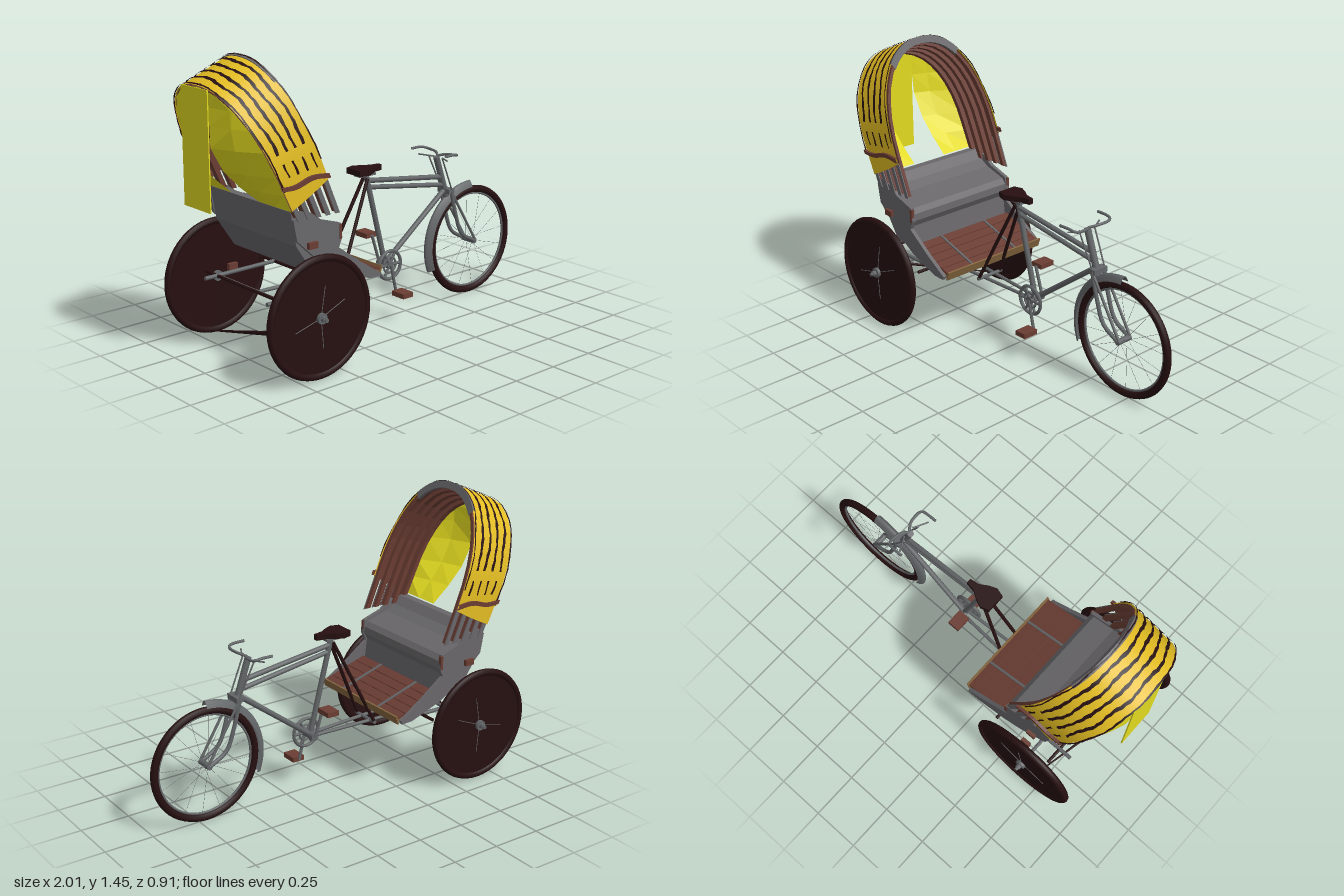
import * as THREE from 'three';

const mat = (name, color, double) => {
  const m = new THREE.MeshStandardMaterial({ color });
  m.name = name;
  if (double) m.side = THREE.DoubleSide;
  return m;
};
const V = (p) => new THREE.Vector3(...p);

// Grid surface from fn(u, v) over lists of parameters; skip(i, j) leaves holes
function surf(us, vs, fn, flat, skip = () => false) {
  const pos = [], idx = [], n = vs.length;
  us.forEach((u) => vs.forEach((v) => pos.push(...fn(u, v))));
  for (let i = 0; i < us.length - 1; i++) for (let j = 0; j < n - 1; j++) {
    if (skip(i, j)) continue;
    const a = i * n + j;
    idx.push(a, a + n, a + 1, a + 1, a + n, a + n + 1);
  }
  let g = new THREE.BufferGeometry();
  g.setAttribute('position', new THREE.Float32BufferAttribute(pos, 3));
  g.setIndex(idx);
  if (flat) g = g.toNonIndexed();
  g.computeVertexNormals();
  return g;
}
const range = (a, b, n) => Array.from({ length: n + 1 }, (_, i) => a + ((b - a) * i) / n);

// Point on the leaning hood: u runs rear to front, t across the arch, o is the outward offset
const S0 = 0.3, POW = 0.9;
function hood(u, t, o = 0) {
  const k = Math.abs(t), a = Math.min(k, 1) * Math.PI / 2;
  const s = k < 1 ? S0 + (1 - S0 + o / 0.69) * Math.cos(a) ** POW : S0 * (1 - (k - 1) / 0.5);
  const z = Math.sign(t) * (0.33 + o) * Math.sin(a) ** POW;
  return [-0.72 + 0.25 * u + s * (-0.28 - 0.01 * u), 0.75 + s * (0.59 + 0.105 * u), z];
}

export function createModel() {
  const root = new THREE.Group();
  root.name = 'cycleRickshaw';
  const gold = mat('gold hood', 0xe2bc22, true), yellow = mat('yellow cloth', 0xe2da20, true);
  const brown = mat('brown wood', 0x6a3d33, true), dark = mat('dark rubber', 0x260f10, true);
  const grey = mat('grey body', 0x69676a, true), metal = mat('frame metal', 0x626567, true);
  const tan = mat('tan board', 0x86663f);

  let parent = root;
  const group = (name) => { parent = new THREE.Group(); parent.name = name; root.add(parent); };
  const add = (name, geo, m, x = 0, y = 0, z = 0) => {
    const mesh = new THREE.Mesh(geo, m);
    mesh.name = name;
    mesh.position.set(x, y, z);
    parent.add(mesh);
    return mesh;
  };
  const box = (name, m, w, h, d, x, y, z) => add(name, new THREE.BoxGeometry(w, h, d), m, x, y, z);
  const rod = (name, m, a, b, r, r2 = r) => {
    const A = V(a), B = V(b), d = B.clone().sub(A);
    const mesh = add(name, new THREE.CylinderGeometry(r2, r, d.length(), 10), m);
    mesh.position.copy(A).add(B).multiplyScalar(0.5);
    mesh.quaternion.setFromUnitVectors(new THREE.Vector3(0, 1, 0), d.normalize());
  };
  const tube = (name, m, pts, r) =>
    add(name, new THREE.TubeGeometry(new THREE.CatmullRomCurve3(pts.map(V)), 24, r, 8), m);
  const extrude = (pts, depth) =>
    new THREE.ExtrudeGeometry(new THREE.Shape(pts.map((p) => new THREE.Vector2(...p))), { depth, bevelEnabled: false });
  const disc = (r, w, n = 40) => new THREE.CylinderGeometry(r, r, w, n).rotateX(Math.PI / 2);
  const sides = [1, -1];

  // Rear wheels: covered discs with hubs on one axle
  group('rearWheels');
  const rx = -0.648, ry = 0.302;
  for (const s of sides) {
    add('rearTire', new THREE.TorusGeometry(0.276, 0.018, 10, 48), dark, rx, ry, 0.4 * s);
    add('rearDisc', disc(0.272, 0.018), dark, rx, ry, 0.4 * s);
    add('rearHub', disc(0.026, 0.05, 14), metal, rx, ry, 0.4 * s);
    add('hubCap', disc(0.014, 0.085, 10), metal, rx, ry, 0.4 * s);
    for (const a of [0.4, 1.4, 3.4, 4.8]) {
      rod('discSpoke', metal, [rx, ry, 0.41 * s], [rx + 0.15 * Math.cos(a), ry + 0.15 * Math.sin(a), 0.41 * s], 0.0018);
    }
  }
  rod('rearAxle', metal, [rx, ry, -0.455], [rx, ry, 0.455], 0.009);
  rod('looseRod', dark, [-0.9, 0.285, 0.38], [-0.7, 0.03, -0.38], 0.011, 0.003);

  // Front wheel with rim and spokes
  group('frontWheel');
  const fx = 0.706, fy = 0.3;
  add('frontTire', new THREE.TorusGeometry(0.274, 0.019, 10, 56), dark, fx, fy, 0);
  add('frontRim', new THREE.TorusGeometry(0.252, 0.006, 8, 56), metal, fx, fy, 0);
  add('frontHub', disc(0.015, 0.085, 14), metal, fx, fy, 0);
  for (let i = 0; i < 16; i++) {
    const a = (i * Math.PI) / 8 + 0.1, z = i % 2 ? 0.025 : -0.025;
    rod('spoke', metal, [fx, fy, z], [fx + 0.249 * Math.cos(a), fy + 0.249 * Math.sin(a), 0], 0.0007);
  }
  add('frontFender', surf(range(1.59, 3.52, 24), range(-1, 1, 6), (a, v) => {
    const r = 0.326 - 0.034 * v * v;
    return [fx + r * Math.cos(a), fy + r * Math.sin(a), 0.025 * v];
  }), metal);

  // Bicycle frame, fork and steering
  group('bicycleFrame');
  rod('seatTube', metal, [-0.02, 0.77, 0], [0.105, 0.29, 0], 0.014);
  rod('topTube', metal, [-0.01, 0.745, 0], [0.48, 0.68, 0], 0.013);
  rod('secondTube', metal, [0, 0.71, 0], [0.5, 0.635, 0], 0.012);
  rod('downTube', metal, [0.11, 0.3, 0], [0.52, 0.61, 0], 0.014);
  rod('headTube', metal, [0.455, 0.79, 0], [0.53, 0.57, 0], 0.017);
  box('forkCrown', metal, 0.04, 0.025, 0.085, 0.53, 0.6, 0);
  for (const s of sides) {
    const z = 0.038 * s;
    tube('forkBlade', metal, [[0.53, 0.6, z], [0.565, 0.47, z], [0.61, 0.36, z], [fx, fy, z]], 0.01);
    rod('forkStay', metal, [0.53, 0.6, z], [fx + 0.01, fy, z], 0.007);
    rod('brakeRod', metal, [0.45, 0.79, 0.05 * s], [0.545, 0.58, z], 0.004);
    tube('handlebar', metal, [[0.465, 0.795, 0], [0.49, 0.805, 0.04 * s], [0.495, 0.81, 0.1 * s],
      [0.485, 0.815, 0.118 * s], [0.46, 0.82, 0.122 * s], [0.4, 0.82, 0.124 * s]], 0.007);
    rod('brakeLever', metal, [0.47, 0.785, 0.03 * s], [0.43, 0.79, 0.105 * s], 0.004);
    rod('chainStay', metal, [0.1, 0.292, 0.015 * s], [rx, ry, 0.06 * s], 0.009);
    rod('seatStrut', dark, [-0.025, 0.76, 0.015 * s], [-0.24, 0.305, 0.07 * s], 0.009);
    rod('bodyRail', metal, [-0.41, 0.36, 0.24 * s], [-0.82, 0.36, 0.24 * s], 0.01);
  }
  rod('strutBar', metal, [-0.24, 0.3, -0.08], [-0.24, 0.3, 0.08], 0.009);

  // Saddle
  add('saddle', extrude([[-0.105, -0.05], [-0.06, -0.062], [-0.02, -0.045], [0.02, -0.02], [0.07, -0.012],
    [0.07, 0.012], [0.02, 0.02], [-0.02, 0.045], [-0.06, 0.062], [-0.105, 0.05]], 0.028).rotateX(-Math.PI / 2), dark, 0, 0.788, 0);
  box('saddleSpring', metal, 0.1, 0.012, 0.05, -0.03, 0.78, 0);

  // Cranks, chainring and pedals
  group('drive');
  const cx = 0.105, cy = 0.295;
  add('chainring', new THREE.TorusGeometry(0.073, 0.009, 6, 32), metal, cx, cy, 0.035);
  add('innerRing', new THREE.TorusGeometry(0.04, 0.006, 6, 24), metal, cx, cy, 0.035);
  add('bottomBracket', disc(0.02, 0.09, 14), metal, cx, cy, 0);
  for (let i = 0; i < 6; i++) {
    const a = (i * Math.PI) / 3;
    rod('chainringArm', metal, [cx, cy, 0.035], [cx + 0.07 * Math.cos(a), cy + 0.07 * Math.sin(a), 0.035], 0.007);
  }
  for (const [x, y, s] of [[0.14, 0.15, 1], [0.058, 0.44, -1]]) {
    rod('crank', metal, [cx, cy, 0.045 * s], [x, y, 0.045 * s], 0.008);
    box('pedal', brown, 0.065, 0.025, 0.085, x, y, 0.093 * s);
  }

  // Passenger body: rounded bench, narrow curved side panels and sloping floor
  group('passengerBody');
  add('bench', extrude([[-0.73, 0.785], [-0.69, 0.785], [-0.65, 0.745], [-0.6, 0.715], [-0.53, 0.695], [-0.48, 0.68],
    [-0.458, 0.655], [-0.455, 0.62], [-0.475, 0.585], [-0.46, 0.47], [-0.6, 0.47], [-0.7, 0.62]], 0.61), grey, 0, 0, -0.305);
  const panel = [[-0.73, 0.75], [-0.69, 0.785], [-0.63, 0.77], [-0.57, 0.725], [-0.46, 0.69], [-0.45, 0.62],
    [-0.47, 0.575], [-0.34, 0.48], [-0.215, 0.4], [-0.22, 0.383], [-0.28, 0.385], [-0.45, 0.445], [-0.56, 0.51], [-0.71, 0.65]];
  for (const s of sides) {
    add('sidePanel', extrude(panel, 0.02), grey, 0, 0, s * 0.315 - 0.01);
    box('armBracket', brown, 0.05, 0.03, 0.025, -0.63, 0.62, 0.33 * s);
    box('armPad', brown, 0.014, 0.07, 0.015, -0.46, 0.65, 0.32 * s);
    box('springBlock', brown, 0.05, 0.05, 0.02, -0.6, 0.345, 0.325 * s);
  }
  for (const x of [-0.41, -0.75]) rod('crossBar', dark, [x, 0.36, -0.33], [x, 0.36, 0.33], 0.008);
  const floor = new THREE.Group();
  floor.name = 'floor';
  floor.position.set(-0.328, 0.442, 0);
  floor.rotation.z = -0.3;
  root.add(floor);
  parent = floor;
  for (let i = 0; i < 5; i++) box('floorPlank', brown, 0.05, 0.012, 0.61, -0.107 + i * 0.0535, 0.006, 0);
  box('floorBase', tan, 0.265, 0.012, 0.61, 0, -0.007, 0);
  box('frontBoard', tan, 0.008, 0.046, 0.62, 0.132, 0, 0);
  for (const s of sides) box('floorStrap', metal, 0.262, 0.006, 0.012, 0, 0.014, 0.145 * s);

  // Hood cover, lining and arched ribs
  group('hood');
  const end = (u) => 1 + 0.5 * (1 - (0.08 + 0.15 * u) / S0);
  const arch = range(-1, 1, 40), across = range(0, 1, 5);
  add('hoodCover', surf(arch, across, (k, u) => hood(u, k * end(u), 0.004)), gold);
  add('hoodLining', surf(arch, across, (k, u) => hood(u, k * end(u), -0.004)), brown);
  const ring = [[-1, 0], [1, 0], [1, -1], [-1, -1], [-1, 0]];
  add('frontRim', surf(range(-0.42, 0.42, 16), ring, (t, c) => hood(0.975 + 0.035 * c[0], t, 0.008 + 0.034 * c[1]), true), grey);
  for (let i = 0; i < 5; i++) {
    const u0 = 0.08 + 0.215 * i, depth = 0.036 - 0.005 * i;
    add('hoodRib', surf(range(-1.5, 1.5, 26), ring, (t, c) => hood(u0 + 0.05 * c[0], t, -0.006 + depth * c[1]), true), brown);
    for (const s of sides) {
      add('ribLeg', surf(range(1.1, 1.52, 4), ring, (t, c) => hood(u0 + 0.05 * c[0], s * t, 0.002 + 0.006 * c[1]), true), grey);
    }
  }

  // Ragged dark stripes and the lower strap
  const stripe = (u0, a, b, w) => add('hoodStripe', surf(range(a, b, 48), [-1, 1], (t, v) => {
    const ragged = w * (0.7 + 0.45 * Math.sin(t * 23 + u0 * 9) * Math.sin(t * 41 + v));
    return hood(u0 + v * ragged + 0.012 * Math.sin(t * 17 + u0 * 5), t, 0.01);
  }), dark);
  for (const u0 of [0.2, 0.4, 0.6, 0.8]) {
    stripe(u0, -0.84, 0.84, 0.042);
    for (const s of sides) stripe(u0 + 0.03, s * 0.9, s * 0.98, 0.03);
  }
  stripe(0.01, -1.1, 1.1, 0.025);
  stripe(0.98, -0.95, 0.95, 0.02);
  for (const s of sides) {
    add('hoodStrap', surf(range(-0.03, 1.03, 12), ring, (u, c) => {
      const t = 1.06 + 0.025 * c[0] + 0.02 * Math.sin(u * 7);
      return hood(u, s * t, 0.018 + 0.014 * c[1]);
    }, true), brown);
  }

  // Bulging faceted back cloth with an opening, and the flap hanging behind it
  const rows = [1, 0.96, 0.86, 0.72, 0.55, 0.35, 0.2, 0.06];
  add('backCloth', surf(rows, [-1, -0.2, -0.12, 0.08, 0.2, 1], (s, zc) => {
    const zm = 0.325 * (1 - (Math.max(0, s - S0) / (1 - S0)) ** (2 / POW)) ** (POW / 2);
    const z = Math.max(-zm, Math.min(zm, zc));
    const bulge = 0.125 * Math.sin(Math.PI * Math.min(1, (1 - s) / 0.94) ** 1.15) * (1 - (zm ? z / zm : 0) ** 2);
    return [Math.max(-0.99, -0.72 - 0.28 * s - bulge), 0.755 + 0.58 * s, z];
  }, true, (i, j) => j === 2 && i >= 3), yellow);
  box('backFlap', yellow, 0.006, 0.55, 0.2, -0.995, 1.055, -0.02);

  return root;
}
